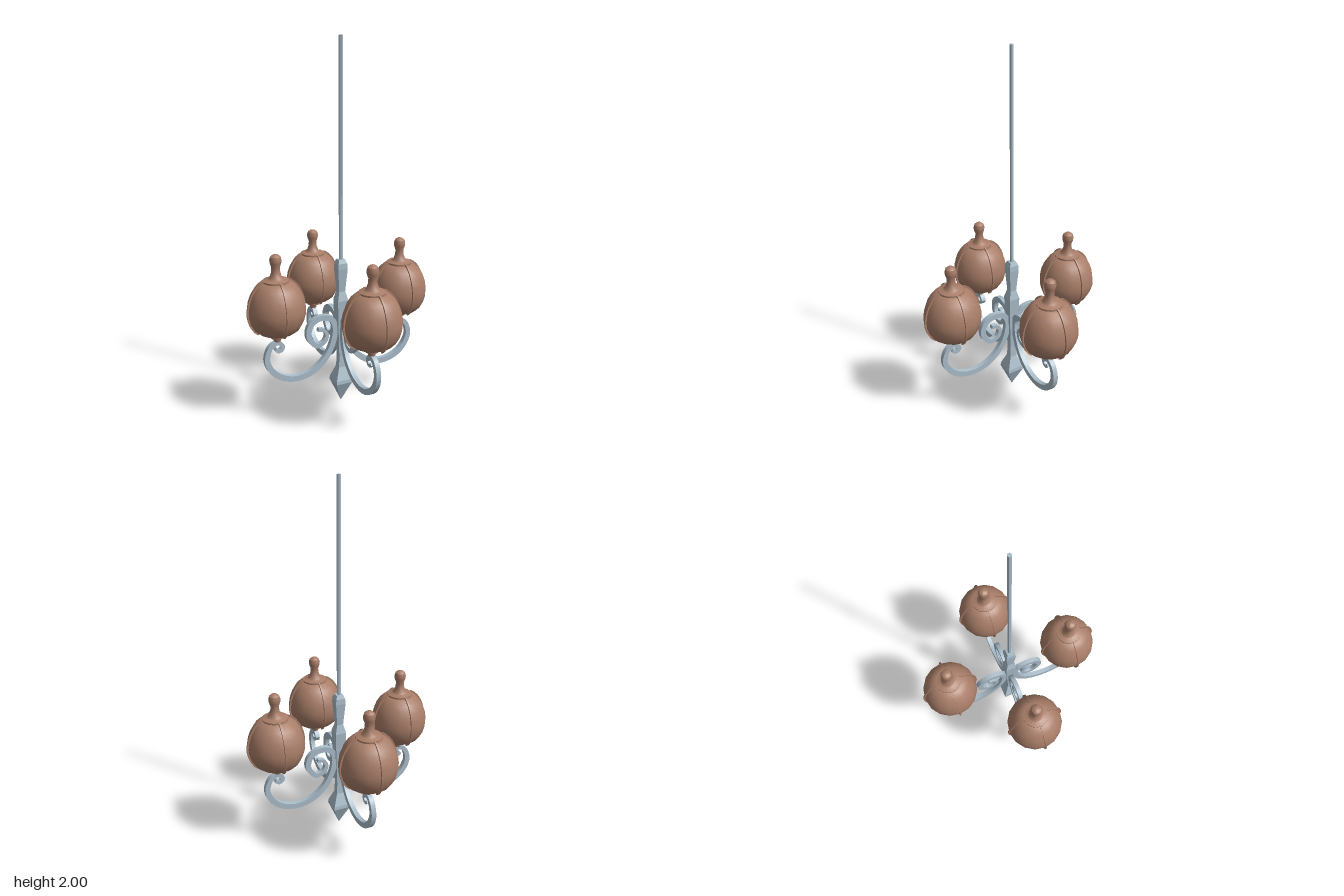
import * as THREE from 'three';
import { toCreasedNormals } from 'three/addons/utils/BufferGeometryUtils.js';

const V = (p) => new THREE.Vector2(p[0], p[1]);
const metal = new THREE.MeshStandardMaterial({ color: 0xaabdca });
const facetedMetal = new THREE.MeshStandardMaterial({ color: 0xaabdca, flatShading: true });
const copper = new THREE.MeshStandardMaterial({ color: 0xa87d68 });

function part(name, geometry, material) {
  const mesh = new THREE.Mesh(geometry, material);
  mesh.name = name;
  return mesh;
}

// Constant-depth bar that follows a planar curve, its half thickness given by a function of t
function sweptBar(points, half, depth, steps) {
  const curve = new THREE.SplineCurve(points.map(V));
  const outer = [], inner = [];
  for (let i = 0; i <= steps; i++) {
    const t = i / steps;
    const p = curve.getPointAt(t), d = curve.getTangentAt(t), h = half(t);
    outer.push(new THREE.Vector2(p.x - d.y * h, p.y + d.x * h));
    inner.unshift(new THREE.Vector2(p.x + d.y * h, p.y - d.x * h));
  }
  const geometry = new THREE.ExtrudeGeometry(new THREE.Shape([...outer, ...inner]), { depth, bevelEnabled: false });
  geometry.translate(0, 0, -depth / 2);
  return toCreasedNormals(geometry, 0.6);
}

// Bowl of the shade, from lower rim to upper rim
const bowl = [
  [0.1, 0.495], [0.122, 0.513], [0.143, 0.55], [0.154, 0.59], [0.155, 0.62],
  [0.149, 0.66], [0.135, 0.7], [0.112, 0.738], [0.085, 0.763],
];
const foot = [
  [0, 0.435], [0.018, 0.435], [0.022, 0.45], [0.036, 0.457], [0.038, 0.468],
  [0.062, 0.476], [0.068, 0.488],
];
const cap = [
  [0.07, 0.768], [0.07, 0.777], [0.042, 0.784], [0.032, 0.795], [0.024, 0.82], [0.022, 0.845],
  [0.03, 0.868], [0.032, 0.885], [0.027, 0.903], [0.015, 0.913], [0, 0.916],
];

function createLamp() {
  const lamp = new THREE.Group();
  lamp.name = 'lamp';
  const profile = [...foot, ...bowl, ...cap].map(V);
  const shade = toCreasedNormals(new THREE.LatheGeometry(profile, 16), 0.6);
  lamp.add(part('shade', shade, copper));

  // Four thin ribs hugging the bowl
  const rib = sweptBar([...bowl, [0.068, 0.772]], () => 0.008, 0.009, 24);
  for (let i = 0; i < 4; i++) {
    const mesh = part('rib', rib, copper);
    mesh.rotation.y = i * Math.PI / 2;
    lamp.add(mesh);
  }
  return lamp;
}

export function createModel() {
  const model = new THREE.Group();
  model.name = 'chandelier';

  // Hanging rod
  const rod = part('rod', new THREE.CylinderGeometry(0.011, 0.011, 1.2, 6), facetedMetal);
  rod.position.y = 1.4;
  model.add(rod);

  // Square column with pointed drop: [half width, height]
  const column = [
    [0, 0.005], [0.048, 0.125], [0.046, 0.145], [0.02, 0.215], [0.017, 0.28],
    [0.026, 0.45], [0.031, 0.61], [0.018, 0.66], [0.028, 0.79], [0.026, 0.82], [0.018, 0.84], [0, 0.84],
  ].map(([h, y]) => new THREE.Vector2(h * Math.SQRT2, y));
  model.add(part('column', new THREE.LatheGeometry(column, 4, Math.PI / 4), facetedMetal));

  // Scrolled arm, from the curl under the lamp to the curl beside the column
  const scroll = [
    [0.384, 0.392], [0.362, 0.376], [0.34, 0.398], [0.37, 0.427], [0.413, 0.403], [0.432, 0.335],
    [0.402, 0.265], [0.34, 0.217], [0.258, 0.199], [0.17, 0.22], [0.095, 0.28], [0.047, 0.37],
    [0.035, 0.46], [0.065, 0.512], [0.13, 0.521], [0.18, 0.488], [0.191, 0.425], [0.15, 0.368],
    [0.1, 0.38], [0.084, 0.42], [0.103, 0.45], [0.135, 0.457],
  ];
  const taper = (t) => 0.009 + 0.007 * Math.min(1, t * 5, (1 - t) * 5);
  const armGeometry = sweptBar(scroll, taper, 0.026, 110);

  // Four arms, each carrying a lamp
  for (let i = 0; i < 4; i++) {
    const branch = new THREE.Group();
    branch.name = 'branch';
    const lamp = createLamp();
    lamp.position.x = 0.369;
    branch.add(part('arm', armGeometry, metal), lamp);
    branch.rotation.y = i * Math.PI / 2;
    branch.position.set(-0.003, 0, -0.003);
    model.add(branch);
  }
  return model;
}
